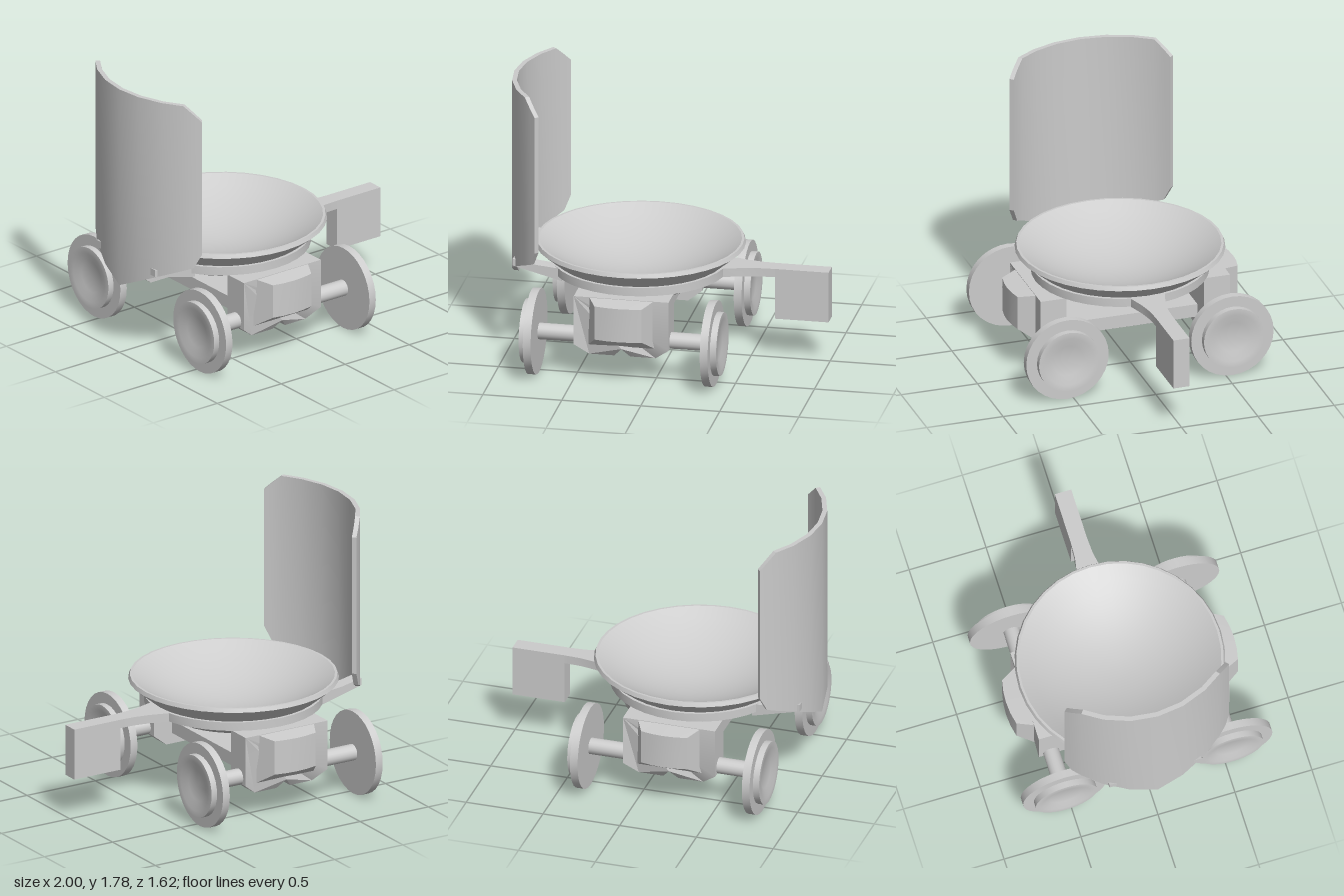
import * as THREE from 'three';
import { toCreasedNormals } from 'three/addons/utils/BufferGeometryUtils.js';

const grey = new THREE.MeshStandardMaterial({ color: 0xcccccc });
const CX = -0.2; // x of the bowl and undercarriage centre

function part(name, geometry, x = 0, y = 0, z = 0, crease = 0.45) {
  const mesh = new THREE.Mesh(toCreasedNormals(geometry, crease), grey);
  mesh.name = name;
  mesh.position.set(x, y, z);
  return mesh;
}

const vec2 = (points) => points.map(([x, y]) => new THREE.Vector2(x, y));
const lathe = (points, sides) => new THREE.LatheGeometry(vec2(points), sides);
const prism = (points, depth) =>
  new THREE.ExtrudeGeometry(new THREE.Shape(vec2(points)), { depth, bevelEnabled: false });

// Skins a row of closed cross-sections and caps both ends
function loft(rings) {
  const n = rings[0].length, last = (rings.length - 1) * n, index = [];
  for (let i = 0; i < rings.length - 1; i++) {
    for (let j = 0; j < n; j++) {
      const a = i * n + j, b = i * n + (j + 1) % n;
      index.push(a, b, b + n, a, b + n, a + n);
    }
  }
  for (let j = 1; j < n - 1; j++) index.push(0, j + 1, j, last, last + j, last + j + 1);
  const geometry = new THREE.BufferGeometry();
  geometry.setAttribute('position', new THREE.Float32BufferAttribute(rings.flat(2), 3));
  geometry.setIndex(index);
  return geometry;
}

// Curved back panel with clipped corners and a bottom edge dipping to the middle
function backPanel() {
  const R = 0.726, thickness = 0.03, centre = -0.274;
  // [z, bottom, top] from the side edge to the middle
  const half = [[0.535, 0.78, 1.68], [0.5, 0.69, 1.725], [0.45, 0.665, 1.78],
    [0.33, 0.61, 1.78], [0.17, 0.535, 1.78], [0, 0.455, 1.78]];
  const stations = [...half.map(([z, b, t]) => [-z, b, t]), ...half.slice(0, -1).reverse()];
  return loft(stations.map(([z, bottom, top]) => {
    const a = Math.asin(z / R);
    const at = (r, y) => [centre - r * Math.cos(a), y, r * Math.sin(a)];
    return [at(R, bottom), at(R - thickness, bottom), at(R - thickness, top), at(R, top)];
  }));
}

// Shallow dish with a flange underneath
function bowl() {
  const profile = [[0, 0.47], [0.25, 0.472], [0.4, 0.48], [0.54, 0.55], [0.555, 0.55],
    [0.555, 0.605], [0.535, 0.605], [0.655, 0.705], [0.645, 0.73], [0.63, 0.73]];
  for (let i = 1; i <= 8; i++) {
    const r = 0.63 * (1 - i / 8);
    profile.push([r, 0.53 + 0.2 * (r / 0.63) ** 2]);
  }
  return lathe(profile, 36);
}

// Tapered casing with a gently bowed face; its base sits at z = 0
function casingGeometry() {
  const g = new THREE.BoxGeometry(2, 1, 1, 4, 1, 1);
  const p = g.attributes.position;
  for (let i = 0; i < p.count; i++) {
    const u = p.getX(i), outer = p.getZ(i) > 0, upper = p.getY(i) > 0;
    p.setXYZ(i, u * (outer ? 0.15 : 0.21),
      upper ? (outer ? 0.53 : 0.55) : (outer ? 0.31 : 0.23),
      outer ? 0.1 + 0.02 * (1 - u * u) : -0.02);
  }
  return g;
}

// Wheel, with its face pointing along +x
function wheelGeometry() {
  return lathe([[0, 0], [0.27, 0], [0.27, 0.05], [0.2, 0.05], [0.2, 0.09],
    [0.16, 0.09], [0.1, 0.07], [0, 0.07]], 32).rotateZ(-Math.PI / 2);
}

function axleAssembly() {
  const group = new THREE.Group();
  // Mount: notched outline whose feet slope back at the front
  const mount = prism([[-0.3, 0.55], [-0.3, 0.23], [-0.21, 0.16], [-0.05, 0.16], [0, 0.22],
    [0.05, 0.16], [0.21, 0.16], [0.3, 0.23], [0.3, 0.55]], 0.17);
  const p = mount.attributes.position;
  for (let i = 0; i < p.count; i++) {
    if (p.getZ(i) > 0.1 && p.getY(i) < 0.2) p.setZ(i, 0.13);
  }
  group.add(part('axleMount', mount, 0, 0, 0.45));
  group.add(part('axleCasing', casingGeometry(), 0, 0, 0.62));
  const axle = new THREE.CylinderGeometry(0.052, 0.052, 1.08, 20).rotateZ(Math.PI / 2);
  group.add(part('axle', axle, 0, 0.272, 0.54));
  for (const side of [1, -1]) {
    const wheel = part('wheel', wheelGeometry(), side * 0.535, 0.27, 0.54);
    if (side < 0) wheel.rotation.y = Math.PI;
    group.add(wheel);
  }
  return group;
}

export function createModel() {
  const model = new THREE.Group();
  model.name = 'wheeledSeat';

  model.add(part('seatBowl', bowl(), CX));
  model.add(part('backPanel', backPanel()));

  // Struts rising from the bowl flange to the back panel
  for (const z of [-0.255, 0.255]) {
    const strut = prism([[-0.95, 0.60], [-0.64, 0.52], [-0.64, 0.6], [-0.8, 0.615], [-0.95, 0.645]], 0.09);
    model.add(part('panelStrut', strut, 0, 0, z - 0.045));
  }

  // Flared arm with a hanging foot block
  const edge = [[0.25, 0.12], [0.35, 0.11], [0.46, 0.076], [0.56, 0.058], [0.66, 0.053]];
  const outline = [...edge.map(([x, z]) => [x, -z]), ...edge.slice().reverse()];
  model.add(part('arm', prism(outline, 0.055).rotateX(Math.PI / 2), 0, 0.605));
  model.add(part('armBlock', new THREE.BoxGeometry(0.34, 0.33, 0.106), 0.83, 0.44));

  // Beam joining the two axle assemblies
  model.add(part('chassisBeam', new THREE.BoxGeometry(0.34, 0.085, 0.94), CX, 0.272));

  for (const [name, turn] of [['frontAxle', 0], ['rearAxle', Math.PI]]) {
    const assembly = axleAssembly();
    assembly.name = name;
    assembly.position.x = CX;
    assembly.rotation.y = turn;
    model.add(assembly);
  }
  return model;
}
